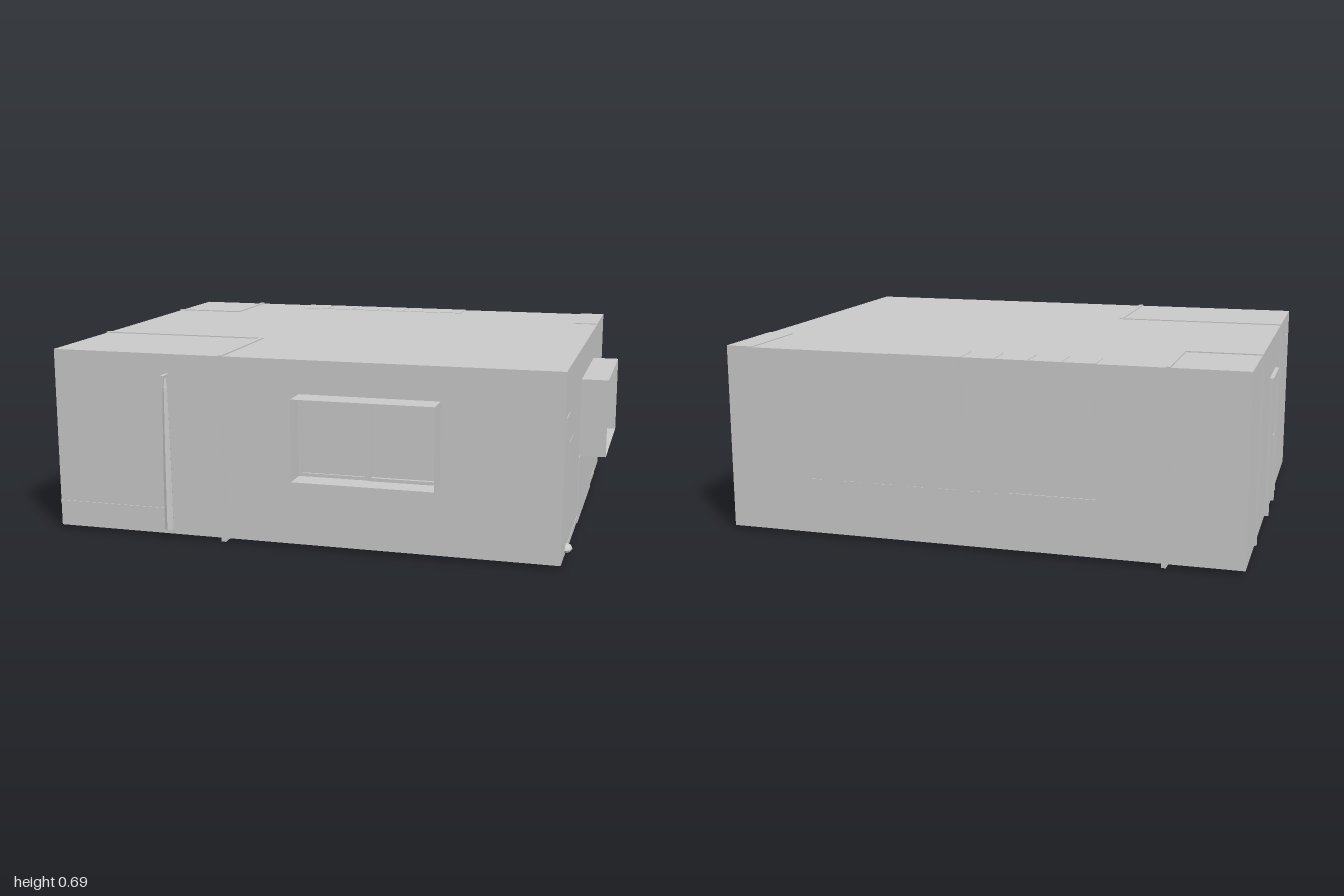
import * as THREE from 'three';

const mat = new THREE.MeshStandardMaterial({ color: 0xcccccc, flatShading: true });
const thin = new THREE.MeshStandardMaterial({ color: 0xcccccc, flatShading: true, side: THREE.DoubleSide });

// Room shell limits
const X0 = -0.985, X1 = 0.9, Y0 = 0.015, Y1 = 0.69, Z0 = -0.81, Z1 = 0.715;

// Box given by its two opposite corners
function box(parent, name, x0, x1, y0, y1, z0, z1) {
  const m = new THREE.Mesh(new THREE.BoxGeometry(x1 - x0, y1 - y0, z1 - z0), mat);
  m.position.set((x0 + x1) / 2, (y0 + y1) / 2, (z0 + z1) / 2);
  m.name = name;
  parent.add(m);
  return m;
}

// Window: open box-shaped reveal with two sliding sashes, facing local +z
function makeWindow(name, w, h, depth) {
  const g = new THREE.Group();
  g.name = name;
  const wall = (len, x, y, rz) => {
    const p = new THREE.Mesh(new THREE.PlaneGeometry(len, depth), thin);
    p.rotation.set(-Math.PI / 2, 0, 0);
    const holder = new THREE.Group();
    holder.name = 'windowReveal';
    holder.add(p);
    holder.rotation.z = rz;
    holder.position.set(x, y, depth / 2);
    g.add(holder);
  };
  for (const s of [-1, 1]) {
    wall(w, 0, s * h / 2, 0);
    wall(h, s * w / 2, 0, Math.PI / 2);
  }
  const t = 0.012;
  for (const s of [-1, 1]) {
    const a = s < 0 ? -w / 2 : 0, b = s < 0 ? 0 : w / 2;
    const d = s < 0 ? 0.008 : 0.014;
    box(g, 'sashBottom', a, b, -h / 2, -h / 2 + t, 0, d);
    box(g, 'sashTop', a, b, h / 2 - t, h / 2, 0, d);
    box(g, 'sashStile', a, a + t, -h / 2, h / 2, 0, d);
    box(g, 'sashStile', b - t, b, -h / 2, h / 2, 0, d);
  }
  return g;
}

// Partition edges showing around one corner: bands over the roof, walls and floor
function cornerBands(parent, name, xEdge, zEdge, xSide, zSide, gap) {
  const g = new THREE.Group();
  g.name = name;
  const t = 0.016, e = 0.004;
  const xa = xSide < 0 ? X0 : xEdge, xb = xSide < 0 ? xEdge : X1;
  const za = zSide < 0 ? Z0 : zEdge, zb = zSide < 0 ? zEdge : Z1;
  const wx = xSide < 0 ? X0 - e : X1, wz = zSide < 0 ? Z0 - e : Z1;
  box(g, 'roofBand', xa, xb, Y1, Y1 + e, zEdge - t / 2, zEdge + t / 2);
  box(g, 'roofBand', xEdge - t / 2, xEdge + t / 2, Y1, Y1 + e, za, zb);
  box(g, 'wallBand', wx, wx + e, 0.002, Y1 + e, zEdge - t / 2, zEdge + t / 2);
  box(g, 'wallBand', xEdge - t / 2, xEdge + t / 2, 0.002, Y1 + e, wz, wz + e);
  box(g, 'floorBand', xa, gap ?? xb, 0, Y0, zEdge - t / 2, zEdge + t / 2);
  box(g, 'floorBand', xEdge - t / 2, xEdge + t / 2, 0, Y0, za, zb);
  parent.add(g);
}

export function createModel() {
  const room = new THREE.Group();
  room.name = 'room';
  box(room, 'roomShell', X0, X1, Y0, Y1, Z0, Z1);

  // Windows on the front and the left wall
  const front = makeWindow('frontWindow', 0.51, 0.295, 0.1);
  front.position.set(0.22, 0.42, Z1);
  const side = makeWindow('sideWindow', 0.515, 0.295, 0.1);
  side.rotation.y = Math.PI / 2;
  side.position.set(X1, 0.42, -0.1);
  room.add(front, side);

  // Partitioned corners
  cornerBands(room, 'hallCorner', -0.33, 0.27, -1, 1, -0.62);
  cornerBands(room, 'closetCorner', -0.71, -0.48, -1, -1);
  const pillar = box(room, 'cornerPillarTop', 0.8, X1, Y1, Y1 + 0.003, Z0, -0.48);
  pillar.name = 'cornerPillarTop';

  // Open inner door, its lower edge under the floor
  const leaf = box(room, 'innerDoorEdge', -0.09, 0.09, 0.006, Y0, -0.006, 0.006);
  leaf.position.set(-0.42, 0.011, 0.33);
  leaf.rotation.y = -0.5;

  // Entrance door and its frame on the right wall
  const door = new THREE.Group();
  door.name = 'entranceDoor';
  box(door, 'doorPanel', X0 - 0.004, X0, Y0, 0.54, -0.14, 0.07);
  box(door, 'doorJamb', -1, X0, Y0, 0.55, -0.155, -0.135);
  box(door, 'doorJamb', -1, X0, Y0, 0.55, 0.065, 0.085);
  box(door, 'doorHead', -1, X0, 0.53, 0.55, -0.155, 0.085);
  box(door, 'doorHandle', -0.995, X0, 0.27, 0.29, 0.035, 0.055);
  room.add(door);
  box(room, 'wallHook', -0.995, X0, 0.6, 0.615, 0.525, 0.54);

  // Low panel under the side window and two small wall plates
  box(room, 'radiatorPanel', X1, X1 + 0.004, 0.01, 0.27, -0.38, 0.17);
  box(room, 'wallPlateLarge', X1, X1 + 0.002, 0.37, 0.525, 0.57, 0.68);
  box(room, 'wallPlateSmall', X1, X1 + 0.002, 0.33, 0.415, 0.45, 0.55);
  box(room, 'sideSkirting', X1, X1 + 0.002, Y0, 0.037, -0.59, 0.55);

  // Kitchen cupboards along the back wall
  const kitchen = new THREE.Group();
  kitchen.name = 'cupboards';
  box(kitchen, 'cupboardWide', 0.01, 0.275, 0.47, Y1 + 0.002, Z0 - 0.004, -0.69);
  for (let i = 0; i < 4; i++) {
    const x = 0.005 - i * 0.119;
    box(kitchen, 'cupboardDoor', x - 0.115, x, 0.4, Y1 + 0.002, Z0 - 0.004, -0.69);
  }
  box(kitchen, 'backRail', -0.48, -0.155, 0.205, 0.222, Z0 - 0.004, Z0);
  for (let i = 0; i < 24; i++) {
    const x = 0.58 - i * 0.03;
    box(kitchen, 'railStud', x - 0.012, x, 0.209, 0.218, Z0 - 0.003, Z0);
  }
  room.add(kitchen);

  // Counter edge and the long umbrella hanging on the front wall
  box(room, 'counterEdge', X0, -0.54, 0.105, 0.112, Z1, Z1 + 0.003);
  const umbrella = new THREE.Group();
  umbrella.name = 'hangingUmbrella';
  const profile = [[0, 0.04], [0.017, 0.04], [0.016, 0.2], [0.013, 0.4], [0.009, 0.57], [0.004, 0.61], [0, 0.615]];
  const cloth = new THREE.Mesh(
    new THREE.LatheGeometry(profile.map(p => new THREE.Vector2(...p)), 8), mat);
  cloth.name = 'umbrellaCloth';
  cloth.position.set(-0.536, 0, 0.737);
  umbrella.add(cloth);
  box(umbrella, 'umbrellaHook', -0.542, -0.528, 0.608, 0.618, Z1, 0.765);
  box(umbrella, 'umbrellaTip', -0.556, -0.545, 0.055, 0.08, 0.73, 0.745);
  room.add(umbrella);

  // Small pouch lying at the foot of the left wall
  const pouch = new THREE.Mesh(new THREE.SphereGeometry(1, 10, 6), mat);
  pouch.name = 'pouch';
  pouch.scale.set(0.024, 0.016, 0.035);
  pouch.position.set(0.9, 0.032, 0.56);
  room.add(pouch);

  // Furniture feet showing just under the floor
  box(room, 'rug', -0.4, 0.67, 0.013, Y0, -0.68, -0.52);
  for (const x of [0.12, 0.4]) box(room, 'mat', x - 0.1, x + 0.1, 0.012, Y0, 0.53, 0.66);

  return room;
}
